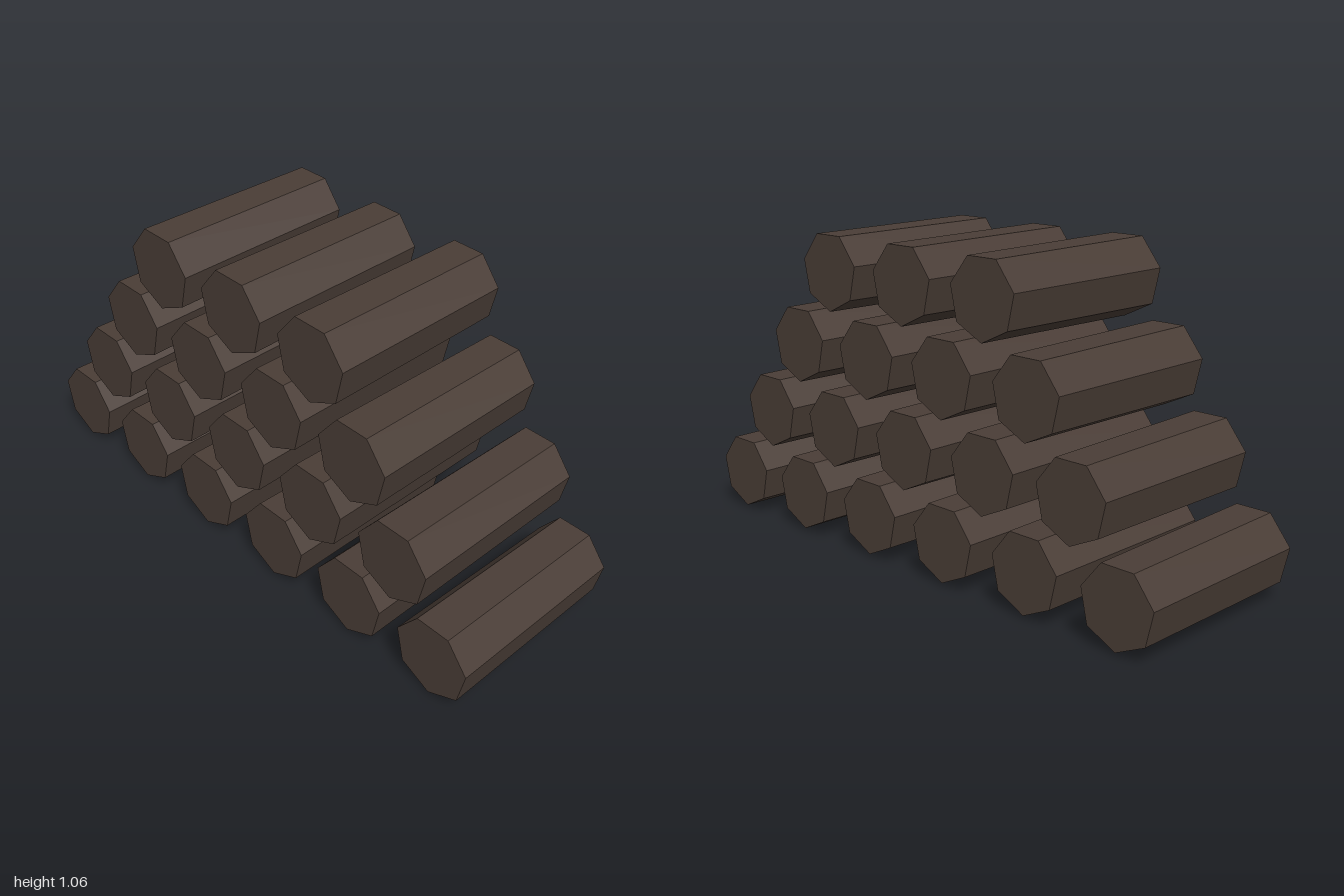
import * as THREE from 'three';

export function createModel() {
  const model = new THREE.Group();
  model.name = 'logPile';

  const bark = new THREE.MeshStandardMaterial({ color: 0x4a3d36, flatShading: true });
  bark.name = 'darkBark';

  const frontRadius = 0.1385, backRadius = 0.1315, length = 0.66;
  const spacing = 0.346, rowHeight = 0.264;

  // Seven-sided tapered log lying along z, one corner pointing down
  const logGeometry = new THREE.CylinderGeometry(frontRadius, backRadius, length, 7);
  logGeometry.rotateX(Math.PI / 2);

  // Stacked rows, each one log shorter than the row below
  [6, 5, 4, 3].forEach((count, row) => {
    const rowGroup = new THREE.Group();
    rowGroup.name = `logRow${row + 1}`;
    rowGroup.position.y = frontRadius + row * rowHeight;
    for (let i = 0; i < count; i++) {
      const log = new THREE.Mesh(logGeometry, bark);
      log.name = `log${i + 1}`;
      log.position.x = (i - (count - 1) / 2) * spacing;
      rowGroup.add(log);
    }
    model.add(rowGroup);
  });

  return model;
}
